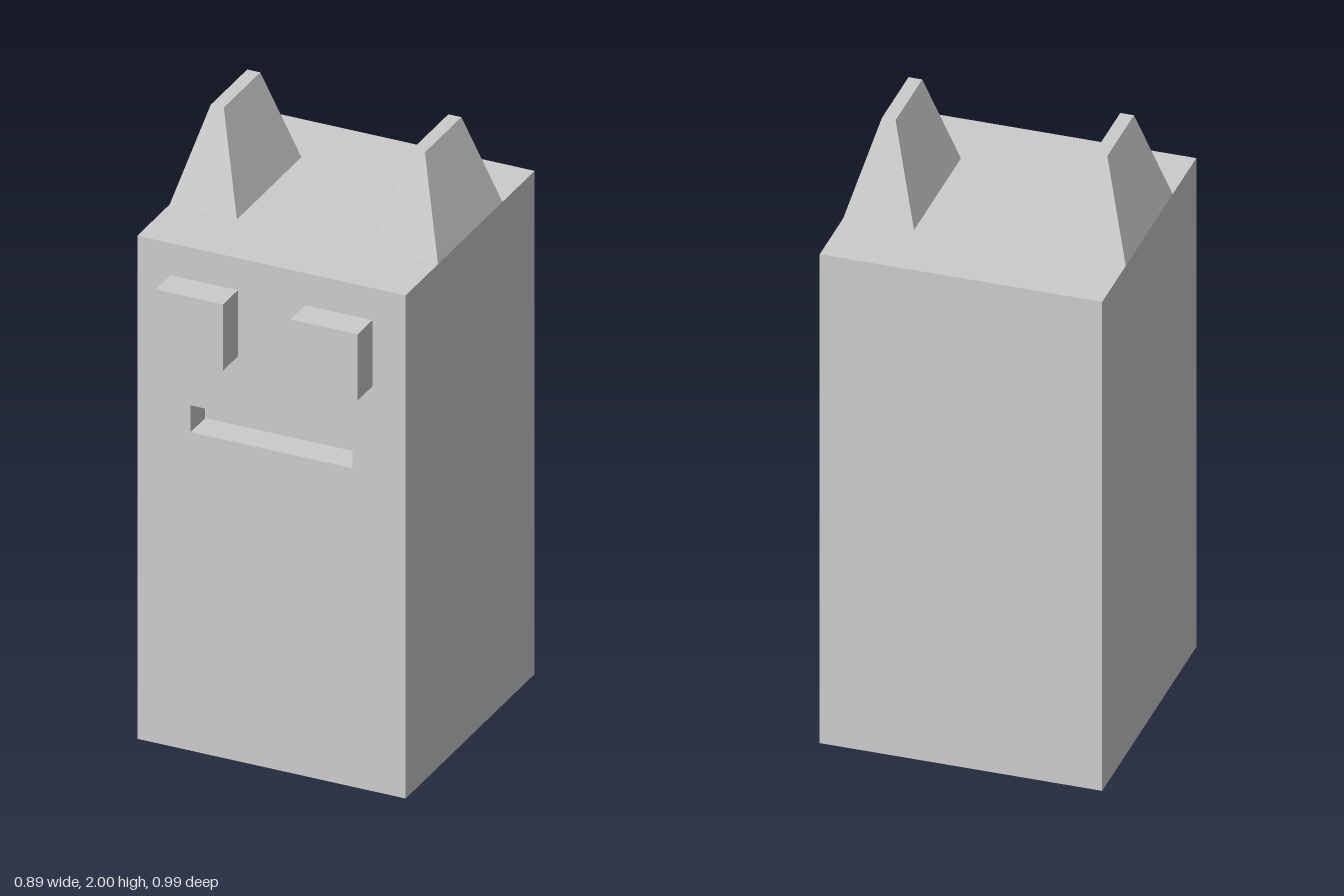
import * as THREE from 'three';

const material = new THREE.MeshStandardMaterial({ color: 0xcccccc, flatShading: true });

// Body limits
const HALF = 0.443, TOP = 1.69, BACK = -0.494, FRONT = 0.393, MOUTH_DEPTH = 0.1;

function add(group, name, geometry, x, y, z) {
  const mesh = new THREE.Mesh(geometry, material);
  mesh.name = name;
  mesh.position.set(x, y, z);
  group.add(mesh);
}

// Rectangle outline from opposite corners
function rect(path, x0, y0, x1, y1) {
  return path.moveTo(x0, y0).lineTo(x1, y0).lineTo(x1, y1).lineTo(x0, y1).closePath();
}

// Box whose top face shrinks toward its centre
function taperedBox(w, h, d, topW, topD) {
  const geometry = new THREE.BoxGeometry(w, h, d);
  const p = geometry.attributes.position;
  for (let i = 0; i < p.count; i++) {
    if (p.getY(i) > 0) {
      p.setX(i, Math.sign(p.getX(i)) * topW / 2);
      p.setZ(i, Math.sign(p.getZ(i)) * topD / 2);
    }
  }
  geometry.computeVertexNormals();
  return geometry;
}

export function createModel() {
  const group = new THREE.Group();
  group.name = 'boxCat';

  // Main block, whose front is the bottom of the mouth slot
  const depth = FRONT - MOUTH_DEPTH - BACK;
  add(group, 'body', new THREE.BoxGeometry(HALF * 2, TOP, depth), 0, TOP / 2, BACK + depth / 2);

  // Front plate with the mouth cut through it
  const face = rect(new THREE.Shape(), -HALF, 0, HALF, TOP);
  face.holes.push(rect(new THREE.Path(), -0.267, 1.07, 0.267, 1.16));
  const plate = new THREE.ExtrudeGeometry(face, { depth: MOUTH_DEPTH, bevelEnabled: false });
  add(group, 'faceWithMouth', plate, 0, 0, FRONT - MOUTH_DEPTH);

  // Paired eyes and ears
  for (const [side, s] of [['left', 1], ['right', -1]]) {
    add(group, side + 'Eye', new THREE.BoxGeometry(0.222, 0.222, 0.101), s * 0.222, 1.471, FRONT + 0.0505);
    add(group, side + 'Ear', taperedBox(0.222, 0.31, 0.443, 0.043, 0.251), s * 0.332, TOP + 0.155, -0.051);
  }
  return group;
}
